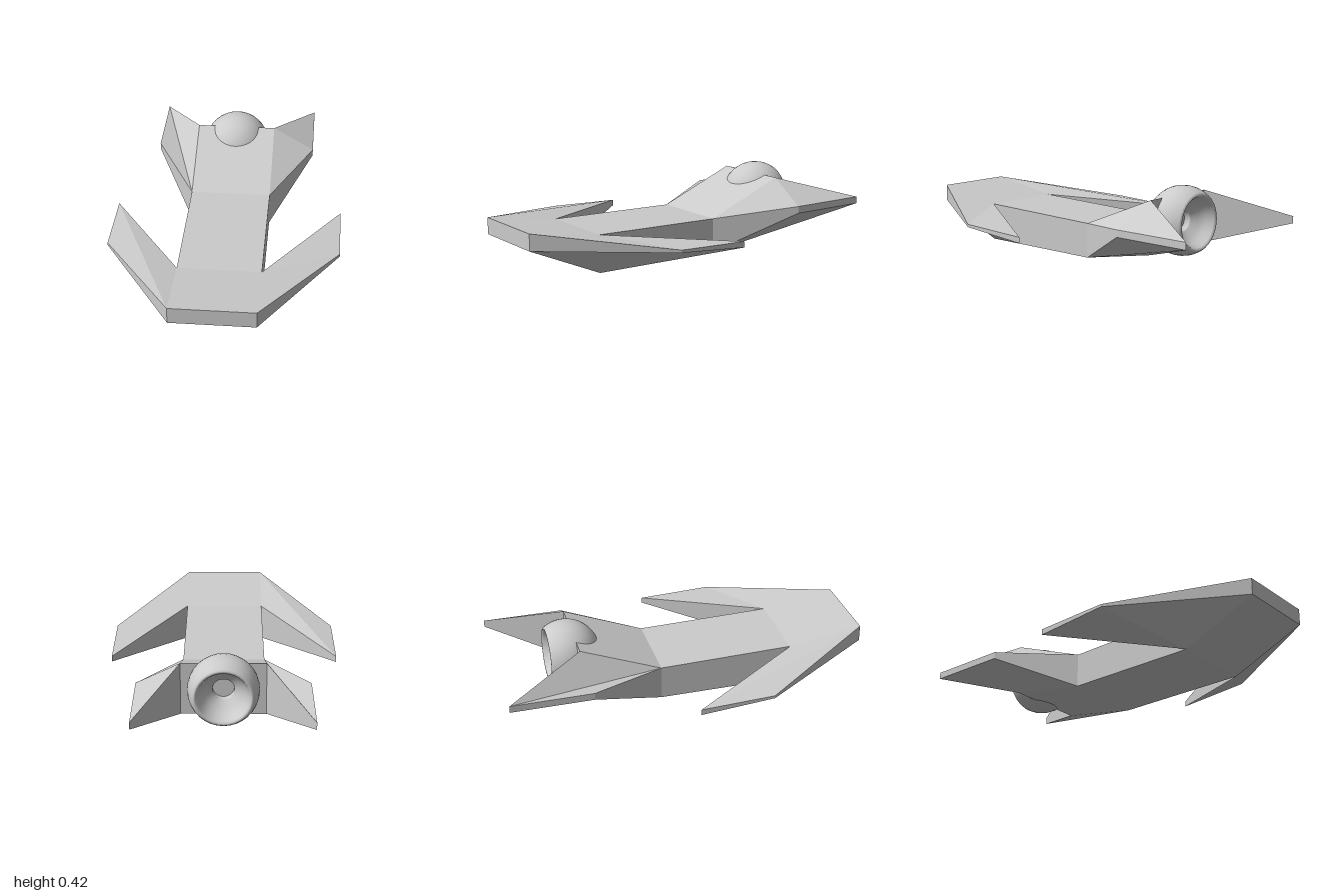
import * as THREE from 'three';

const grey = new THREE.MeshStandardMaterial({ color: 0xcccccc, flatShading: true });
const smoothGrey = new THREE.MeshStandardMaterial({ color: 0xcccccc, side: THREE.DoubleSide });

// Skins a row of four-cornered rings (counter-clockwise seen from the last ring) and caps both ends.
function loft(name, rings) {
  const pos = [];
  const tri = (...pts) => pts.forEach((p) => pos.push(...p));
  for (let r = 0; r < rings.length - 1; r++) {
    const a = rings[r], b = rings[r + 1];
    for (let i = 0; i < 4; i++) {
      const j = (i + 1) % 4;
      tri(a[i], a[j], b[j]);
      tri(a[i], b[j], b[i]);
    }
  }
  const [s, e] = [rings[0], rings[rings.length - 1]];
  tri(s[0], s[2], s[1]);
  tri(s[0], s[3], s[2]);
  tri(e[0], e[1], e[2]);
  tri(e[0], e[2], e[3]);
  const geo = new THREE.BufferGeometry();
  geo.setAttribute('position', new THREE.Float32BufferAttribute(pos, 3));
  geo.computeVertexNormals();
  const mesh = new THREE.Mesh(geo, grey);
  mesh.name = name;
  return mesh;
}

// Wing corners run: front top, front bottom, back bottom, back top.
function wingPair(name, root, tip) {
  const mirror = (ring) => ring.map(([x, y, z]) => [-x, y, z]).reverse();
  return [
    loft('left' + name, [root, tip]),
    loft('right' + name, [mirror(root), mirror(tip)]),
  ];
}

export function createModel() {
  const model = new THREE.Group();
  model.name = 'spacecraft';
  const w = 0.22;

  // Hull sections from tail to nose: z, bottom, top
  const sections = [
    [-0.585, 0.08, 0.365],
    [-0.145, 0, 0.187],
    [0.59, 0, 0.203],
    [1, 0.177, 0.267],
  ];
  model.add(loft('hull', sections.map(([z, lo, hi]) =>
    [[-w, hi, z], [-w, lo, z], [w, lo, z], [w, hi, z]])));

  // Swept-back nose wings
  model.add(...wingPair('NoseWing',
    [[w, 0.267, 1], [w, 0.177, 1], [w, 0, 0.59], [w, 0.203, 0.59]],
    [[0.62, 0.172, 0.36], [0.62, 0.157, 0.36], [0.62, 0.125, -0.04], [0.62, 0.157, -0.04]]));

  // Swept-back tail wings
  model.add(...wingPair('TailWing',
    [[w, 0.187, -0.145], [w, 0, -0.145], [w, 0.08, -0.585], [w, 0.365, -0.585]],
    [[0.45, 0.243, -0.56], [0.45, 0.205, -0.56], [0.45, 0.205, -1], [0.45, 0.243, -1]]));

  // Round engine: ball opening to the rear with a concave nozzle and a small throat
  const R = 0.185;
  const profile = [];
  for (let i = 0; i <= 14; i++) {
    const a = -Math.PI / 2 + (i / 14) * (Math.PI / 2 + 0.56);
    profile.push(new THREE.Vector2(Math.max(0, R * Math.cos(a)), R * Math.sin(a)));
  }
  [[0.15, 0.106], [0.142, 0.106], [0.134, 0.098], [0.118, 0.06], [0.092, 0.025],
    [0.06, 0.005], [0.056, -0.005], [0.056, -0.06], [0, -0.06]]
    .forEach(([x, y]) => profile.push(new THREE.Vector2(x, y)));
  const engine = new THREE.Mesh(new THREE.LatheGeometry(profile, 32).rotateX(-Math.PI / 2), smoothGrey);
  engine.name = 'engine';
  engine.position.set(0, 0.235, -0.62);
  model.add(engine);

  return model;
}
